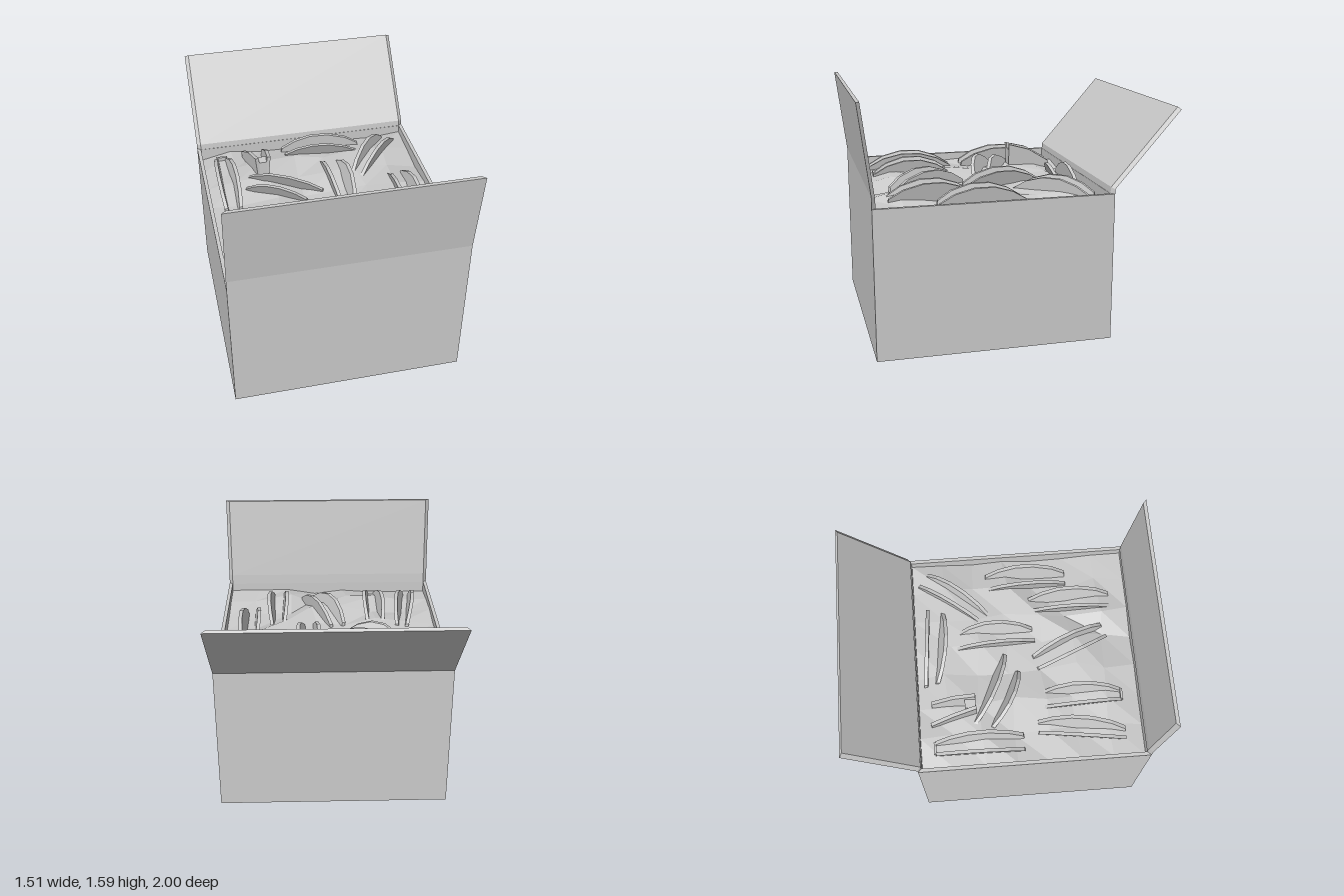
import * as THREE from 'three';

const W = 0.755, INNER = 0.73, BACK = -0.58, FRONT = 0.93, RIM = 0.96, T = 0.024;
const material = new THREE.MeshStandardMaterial({ color: 0xcccccc, flatShading: true });

function add(parent, name, geometry) {
  const mesh = new THREE.Mesh(geometry, material);
  mesh.name = name;
  parent.add(mesh);
  return mesh;
}

function polygon(points) {
  return new THREE.Shape(points.map(([x, y]) => new THREE.Vector2(x, y)));
}

// Flap from a (z, y) section, outer points first; the inner points are mitred at the ends
function flapGeometry(outer, inner) {
  const g = new THREE.ExtrudeGeometry(polygon([...outer, ...inner]), { depth: 2 * W, bevelEnabled: false });
  g.translate(0, 0, -W).rotateY(-Math.PI / 2);
  const p = g.attributes.position;
  for (let i = 0; i < p.count; i++) {
    const isInner = inner.some(([z, y]) => Math.hypot(p.getZ(i) - z, p.getY(i) - y) < 1e-4);
    if (isInner) p.setX(i, Math.sign(p.getX(i)) * INNER);
  }
  g.computeVertexNormals();
  return g;
}

// Thin standing chip edge between two points in plan, its top leaning sideways
const ARC = [[0, 0], [0.02, 0.08], [0.18, 0.135], [0.38, 0.17], [0.6, 0.17], [0.82, 0.135], [0.98, 0.08], [1, 0]];
const STUB = [[0, 0.05], [0, 0.11], [0.5, 0.2], [1, 0.24], [1, 0.05]];

function chipSide(parent, [x1, z1, x2, z2], lean, profile = ARC) {
  const length = Math.hypot(x2 - x1, z2 - z1);
  const g = new THREE.ExtrudeGeometry(polygon(profile.map(([u, y]) => [u * length, y])), { depth: T, bevelEnabled: false });
  g.translate(0, 0, -T / 2);
  const p = g.attributes.position;
  for (let i = 0; i < p.count; i++) p.setZ(i, p.getZ(i) + lean * (p.getY(i) - 0.08));
  g.computeVertexNormals();
  const mesh = add(parent, 'chipSide', g);
  mesh.position.set(x1, 0.85, z1);
  mesh.rotation.y = -Math.atan2(z2 - z1, x2 - x1);
}

export function createModel() {
  const model = new THREE.Group();

  // Carton: bottom and four walls
  const depth = FRONT - BACK, midZ = (FRONT + BACK) / 2;
  add(model, 'bottom', new THREE.BoxGeometry(2 * W, T, depth)).position.set(0, T / 2, midZ);
  for (const s of [1, -1]) {
    add(model, 'sideWall', new THREE.BoxGeometry(T, RIM, depth)).position.set(s * (W - T / 2), RIM / 2, midZ);
    add(model, 'endWall', new THREE.BoxGeometry(2 * W, RIM, T))
      .position.set(0, RIM / 2, midZ + s * (depth / 2 - T / 2));
  }

  // Open flaps
  add(model, 'frontFlap', flapGeometry(
    [[FRONT, RIM], [FRONT, 1.03], [1, 1.59]], [[0.977, 1.59], [0.907, 1.03], [0.904, RIM]]));
  add(model, 'backFlap', flapGeometry(
    [[BACK, RIM], [BACK, 0.99], [-1, 1.473]], [[-0.985, 1.487], [-0.562, 1.0], [-0.558, RIM]]));

  // Uneven bed of filling
  const bed = new THREE.PlaneGeometry(2 * (W - T), depth - 2 * T, 7, 7).rotateX(-Math.PI / 2);
  const p = bed.attributes.position;
  let seed = 7;
  const random = () => (seed = (seed * 16807) % 2147483647) / 2147483647;
  for (let i = 0; i < p.count; i++) {
    const edge = Math.abs(p.getX(i)) > 0.7 || Math.abs(p.getZ(i)) > 0.7;
    p.setY(i, edge ? 0.87 + 0.05 * random() : 0.89 + 0.06 * random());
    if (!edge) {
      p.setX(i, p.getX(i) + 0.07 * (random() - 0.5));
      p.setZ(i, p.getZ(i) + 0.07 * (random() - 0.5));
    }
  }
  bed.computeVertexNormals();
  add(model, 'fillingBed', bed).position.z = midZ;

  // Curved packing chips: two standing sides each, with their leans
  const chips = [
    [[-0.635, -0.47, -0.645, 0.13], [-0.56, -0.47, -0.545, 0.13], 0.2, -0.2],
    [[-0.17, -0.5, 0.4, -0.46], [-0.16, -0.42, 0.37, -0.36], 0.05, 0.45],
    [[0.58, -0.52, 0.26, -0.09], [0.66, -0.46, 0.31, -0.04], 0.15, -0.1],
    [[0.085, -0.29, 0.11, 0.26], [0.19, -0.28, 0.195, 0.25], 0.15, -0.35],
    [[0.51, -0.05, 0.52, 0.51], [0.61, -0.06, 0.605, 0.51], 0.2, -0.2],
    [[-0.48, -0.21, 0.03, 0.05], [-0.49, -0.08, -0.1, 0.13], 0.5, 0.5],
    [[-0.54, 0.21, -0.62, 0.8], [-0.465, 0.21, -0.55, 0.8], 0.25, -0.25],
    [[-0.37, 0.25, -0.35, 0.8], [-0.265, 0.26, -0.285, 0.8], 0.25, -0.25],
    [[-0.1, 0.25, 0.11, 0.75], [-0.01, 0.22, 0.195, 0.72], 0.3, -0.05],
    [[0.325, 0.23, 0.325, 0.8], [0.41, 0.22, 0.42, 0.8], 0.2, -0.25],
  ];
  for (const [a, b, leanA, leanB] of chips) {
    const chip = new THREE.Group();
    chip.name = 'packingChip';
    chipSide(chip, a, leanA);
    chipSide(chip, b, leanB);
    model.add(chip);
  }

  // Short chip tipped up out of the bed
  const stub = new THREE.Group();
  stub.name = 'tippedChip';
  chipSide(stub, [-0.44, -0.48, -0.37, -0.18], 0.1, STUB);
  chipSide(stub, [-0.3, -0.47, -0.32, -0.18], -0.1, STUB);
  add(stub, 'chipBase', new THREE.BoxGeometry(0.06, 0.14, 0.07)).position.set(-0.345, 0.98, -0.215);
  model.add(stub);

  // Closed chip ends showing above the bed
  for (const [x, z] of [[-0.597, -0.463], [-0.317, 0.79]]) {
    add(model, 'chipEnd', new THREE.BoxGeometry(0.075, 0.1, 0.015)).position.set(x, 0.89, z);
  }
  return model;
}
